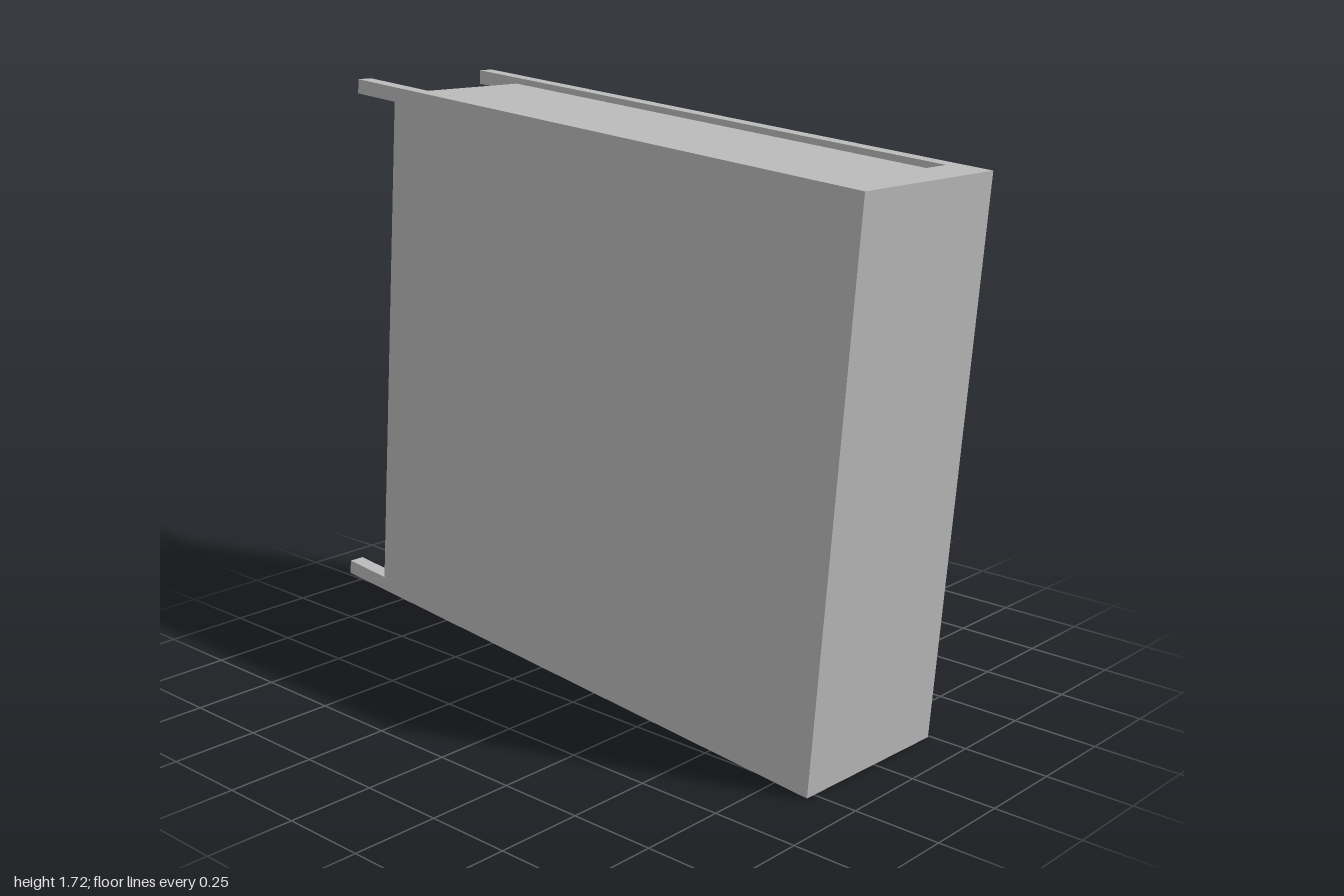
import * as THREE from 'three';

export function createModel() {
  const grey = new THREE.MeshStandardMaterial({ color: 0xb8b8b8 });
  grey.name = 'plain grey';
  const model = new THREE.Group();
  model.name = 'cabinet';

  // Box given by its extents along length (x), height (y) and depth (z)
  function box(name, [x0, x1], [y0, y1], [z0, z1]) {
    const mesh = new THREE.Mesh(new THREE.BoxGeometry(x1 - x0, y1 - y0, z1 - z0), grey);
    mesh.position.set((x0 + x1) / 2, (y0 + y1) / 2, (z0 + z1) / 2);
    mesh.name = name;
    model.add(mesh);
  }
  const around = (c, t) => [c - t / 2, c + t / 2];
  const mirrored = (s, a, b) => (s > 0 ? [a, b] : [-b, -a]);

  const L = 0.94, H = 0.787, D = 0.263; // half sizes
  const foot = -0.77, crown = 0.885, post = 0.042, t = 0.025;
  const inner = [-0.252, 0.251];
  const open = [-D + 0.008, 0.251];

  // Carcass: closing panel, crown board and foot board
  box('closingPanel', [foot, crown], [-H, H], [0.251, D]);
  box('crownBoard', [crown, L], [-H, H], [-D, D]);
  box('footBoard', [foot, foot + t], [-H + 0.02, H - 0.02], [-D + 0.004, 0.251]);

  // Long corner posts that run on as legs, with recessed side panels and rails
  for (const s of [-1, 1]) {
    const y = mirrored(s, H - post, H);
    box('cornerPost', [-L, crown], y, [-D, -D + 0.047]);
    box('cornerPost', [-L, foot], y, [D - 0.047, D]);
    box('cornerPost', [foot, crown], y, [D - 0.047, 0.251]);
    box('sideRail', [crown - 0.055, crown], y, [-D + 0.047, D - 0.047]);
    box('sidePanel', [foot, crown - 0.055], mirrored(s, H - 0.034, H - 0.018), [-D + 0.047, D - 0.047]);
  }

  // Dividers and shelves
  const left = 0.477, right = -0.332, mid = (left + right) / 2;
  const top = 0.385, bottom = -0.4;
  for (const x of [left, right])
    box('divider', around(x, t), [-H + 0.034, H - 0.034], open);
  box('shortDivider', around(mid, t), [top, H - 0.034], open);
  box('shortDivider', around(mid, t), [-H + 0.034, bottom], open);
  box('shelf', [left, crown], around(0.01, t), open);
  box('shelf', [foot, right], around(0.01, t), open);
  box('boxBoard', [right, left], [top - t, top], inner);
  box('boxBoard', [right, left], [bottom, bottom + t], inner);

  // Framed door with a recessed panel
  const x0 = right - t / 2, x1 = left + t / 2, f = 0.045, face = [-D, -D + 0.025];
  box('doorStile', [x0, x0 + f], [bottom, top], face);
  box('doorStile', [x1 - f, x1], [bottom, top], face);
  box('doorRail', [x0 + f, x1 - f], [top - f - 0.008, top], face);
  box('doorRail', [x0 + f, x1 - f], [bottom, bottom + f + 0.008], face);
  box('doorPanel', [x0 + f, x1 - f], [bottom + f, top - f], [-D + 0.014, -D + 0.022]);

  // Door handle
  box('handleBar', around(mid + 0.01, 0.125), around(-0.365, 0.016), [-D - 0.022, -D - 0.012]);
  for (const s of [-1, 1])
    box('handleFoot', around(mid + 0.01 + s * 0.05, 0.012), around(-0.365, 0.012), [-D - 0.014, -D]);

  // The whole cabinet lies on its side, slightly tilted
  model.rotation.set(-0.005, -0.0215, -0.0765);
  model.position.set(0, 0.859, -0.003);
  const root = new THREE.Group();
  root.name = 'tiltedCabinet';
  root.add(model);
  return root;
}
